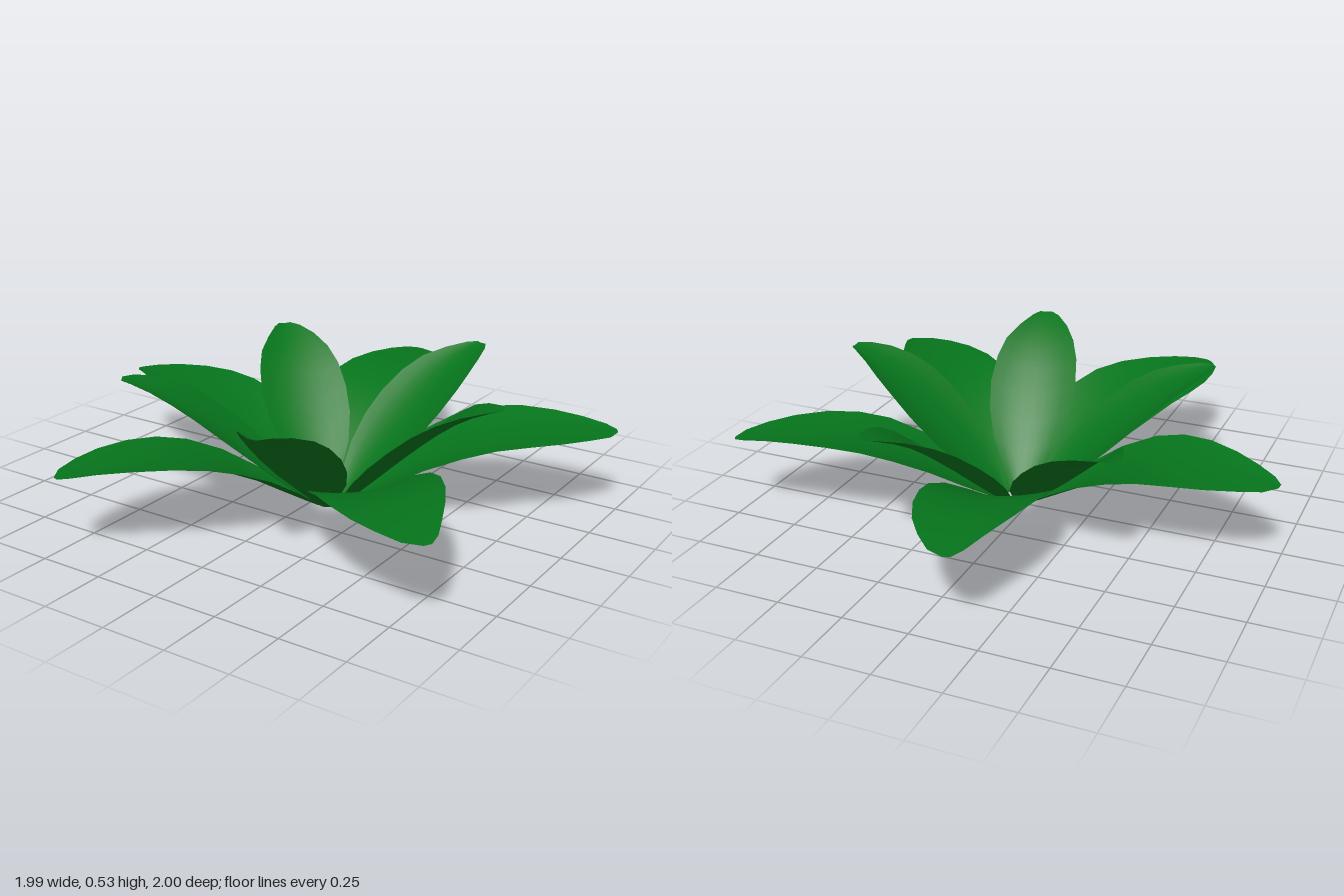
import * as THREE from 'three';

const leafGreen = new THREE.MeshStandardMaterial({ color: 0x06741c, side: THREE.DoubleSide });
leafGreen.name = 'leaf green';

// Cross-sections from base to tip: [distance, left half-width, right half-width, height, edge lift]
const OUTER = [
  [0.06, 0.025, 0.025, 0.0, 0.006],
  [0.12, 0.078, 0.078, 0.037, 0.022],
  [0.22, 0.15, 0.15, 0.1, 0.036],
  [0.35, 0.2, 0.2, 0.182, 0.04],
  [0.48, 0.222, 0.225, 0.248, 0.035],
  [0.6, 0.212, 0.224, 0.29, 0.028],
  [0.72, 0.182, 0.212, 0.313, 0.02],
  [0.84, 0.134, 0.18, 0.323, 0.013],
  [0.94, 0.085, 0.132, 0.324, 0.008],
  [1.02, 0.042, 0.078, 0.32, 0.003],
  [1.055, 0.008, 0.02, 0.317, 0],
];
const INNER = [
  [0.06, 0.025, 0.025, 0.0, 0.006],
  [0.11, 0.073, 0.073, 0.045, 0.022],
  [0.2, 0.134, 0.134, 0.128, 0.038],
  [0.29, 0.165, 0.165, 0.212, 0.045],
  [0.38, 0.174, 0.174, 0.292, 0.047],
  [0.47, 0.161, 0.167, 0.368, 0.045],
  [0.55, 0.135, 0.144, 0.428, 0.037],
  [0.63, 0.088, 0.107, 0.475, 0.025],
  [0.7, 0.045, 0.063, 0.507, 0.012],
  [0.735, 0.018, 0.028, 0.52, 0.003],
];

// Lofts a cupped blade along +x; roll tips its right-hand edge down
function leafGeometry(sections, roll) {
  const cols = 8, pos = [], index = [];
  sections.forEach(([r, left, right, y, lift], i) => {
    for (let j = 0; j <= cols; j++) {
      const s = (j / cols) * 2 - 1;
      const z = s * (s < 0 ? left : right);
      pos.push(r, y + lift * s * s - z * roll * (r / 1.05), z);
      if (i < sections.length - 1 && j < cols) {
        const a = i * (cols + 1) + j, c = a + cols + 1;
        index.push(a, a + 1, c, a + 1, c + 1, c);
      }
    }
  });
  const geo = new THREE.BufferGeometry();
  geo.setAttribute('position', new THREE.Float32BufferAttribute(pos, 3));
  geo.setIndex(index);
  geo.computeVertexNormals();
  return geo;
}

// Places one leaf per [angle in degrees, length scale, height scale]
function leafRing(name, geo, leaves) {
  const ring = new THREE.Group();
  ring.name = name + 's';
  leaves.forEach(([angle, length, height], i) => {
    const leaf = new THREE.Mesh(geo, leafGreen);
    leaf.name = name + (i + 1);
    leaf.rotation.y = -THREE.MathUtils.degToRad(angle);
    leaf.scale.set(length, height, 1);
    ring.add(leaf);
  });
  return ring;
}

export function createModel() {
  const plant = new THREE.Group();
  plant.name = 'leafRosette';
  plant.add(
    leafRing('outerLeaf', leafGeometry(OUTER, 0.08),
      [[-30, 1.015, 1], [40.5, 1.025, 1], [116.5, 1.015, 1], [187, 1, 1], [258.7, 0.995, 1]]),
    leafRing('innerLeaf', leafGeometry(INNER, 0),
      [[2.5, 0.99, 1.01], [75.5, 1.01, 1.005], [145.3, 1.05, 0.955], [222, 1.06, 0.945], [290.3, 1.03, 0.96]]),
  );
  plant.position.set(0.055, 0, 0.035);
  const model = new THREE.Group();
  model.add(plant);
  return model;
}
